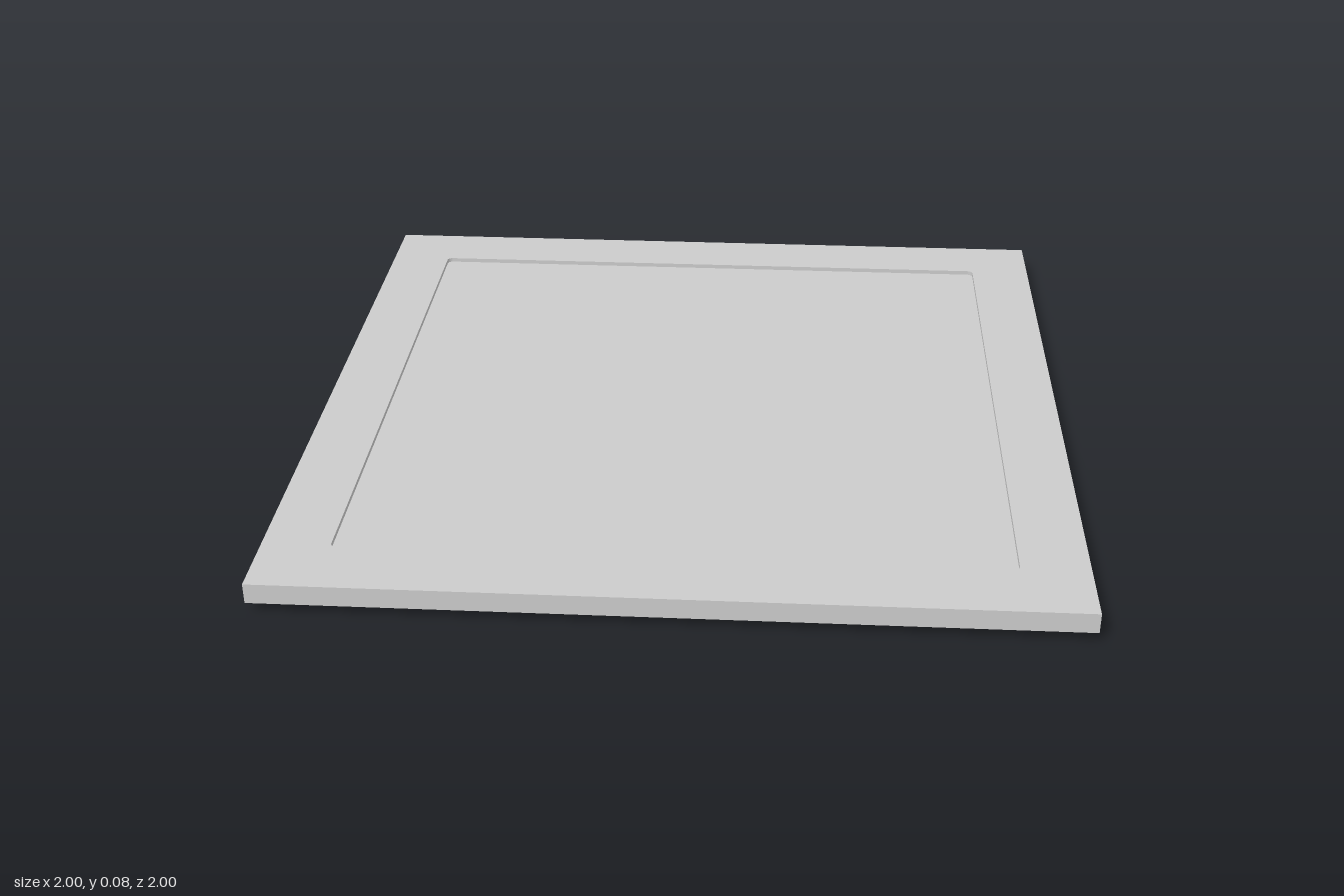
import * as THREE from 'three';

const BOTTOM = 0.027, TOP = 0.08, RECESS = 0.012;

// Square outline with rounded corners (r = 0 gives sharp corners)
function square(half, r, Type = THREE.Shape) {
  const s = new Type();
  s.moveTo(-half + r, -half);
  for (let i = 0; i < 4; i++) {
    const a = (i - 1) * Math.PI / 2;
    const cx = (i === 0 || i === 1 ? 1 : -1) * (half - r);
    const cy = (i === 1 || i === 2 ? 1 : -1) * (half - r);
    if (r > 0) s.absarc(cx, cy, r, a, a + Math.PI / 2, false);
    else s.lineTo(cx, cy);
  }
  s.closePath();
  return s;
}

export function createModel() {
  const group = new THREE.Group();
  const material = new THREE.MeshStandardMaterial({ color: 0xcccccc });
  const add = (name, geometry, x, y, z) => {
    const mesh = new THREE.Mesh(geometry, material);
    mesh.name = name;
    mesh.position.set(x, y, z);
    group.add(mesh);
  };
  const floorY = TOP - RECESS;

  // Outer body: full-height rim around the recess
  const rim = square(1, 0);
  rim.holes.push(square(0.83, 0.015, THREE.Path));
  const rimGeometry = new THREE.ExtrudeGeometry(rim, { depth: TOP - BOTTOM, bevelEnabled: false, curveSegments: 6 });
  add('rim', rimGeometry.rotateX(-Math.PI / 2), 0, BOTTOM, 0);

  // Sunken centre panel
  const panel = new THREE.ExtrudeGeometry(square(0.83, 0.015), { depth: floorY - BOTTOM, bevelEnabled: false, curveSegments: 6 });
  add('recessedPanel', panel.rotateX(-Math.PI / 2), 0, BOTTOM, 0);

  // Four round feet near the corners
  const foot = new THREE.CylinderGeometry(0.057, 0.057, BOTTOM, 32);
  for (const x of [-1, 1]) for (const z of [-1, 1]) {
    add('foot', foot, x * 0.89, BOTTOM / 2, z * 0.89);
  }
  return group;
}
